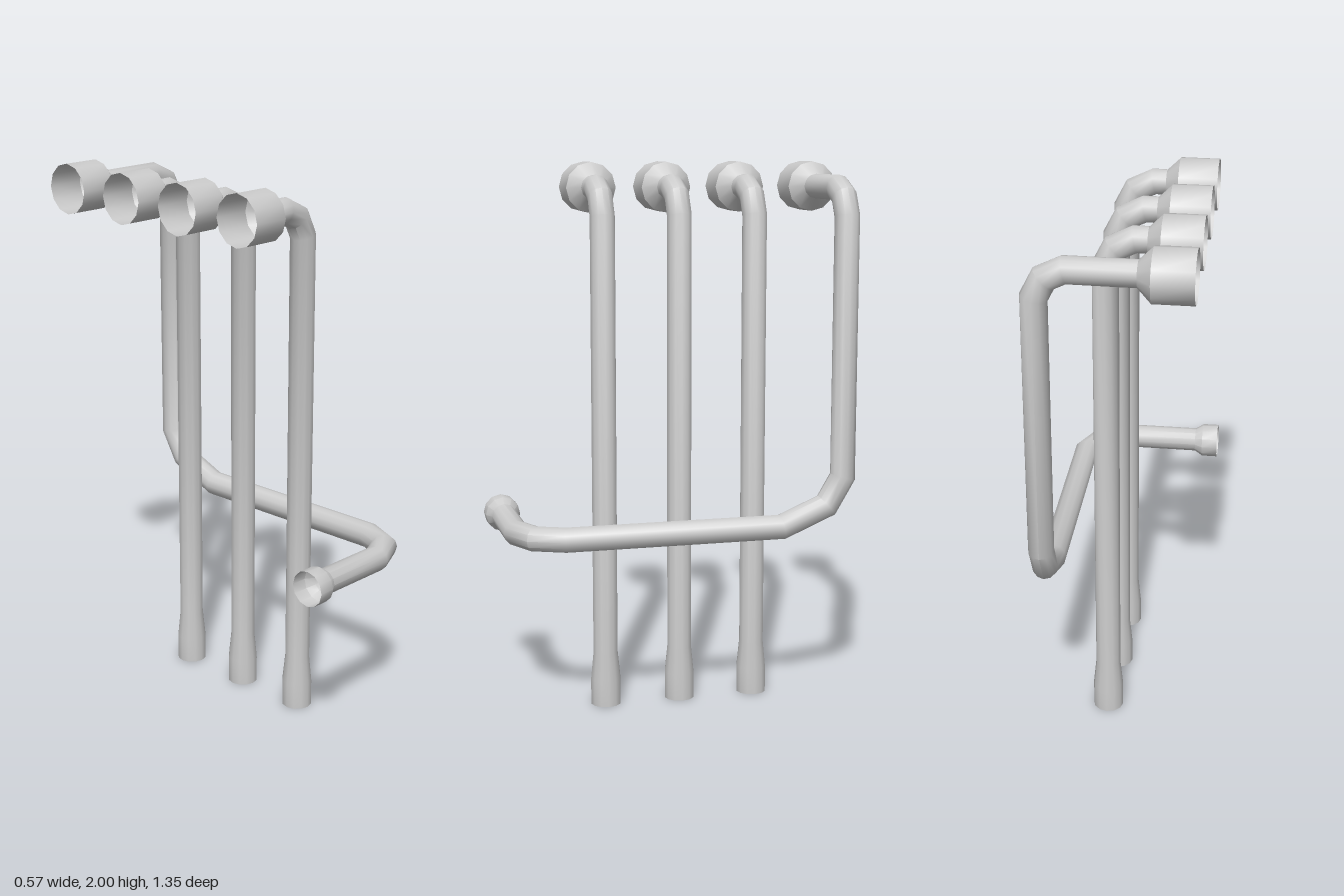
import * as THREE from 'three';
import { toCreasedNormals } from 'three/addons/utils/BufferGeometryUtils.js';

const SIDES = 12;
const PIPE = 0.046;

// Sweeps a round section along [x, y, z, radius] stations with mitred corners.
function sweep(stations, capEnd) {
  const pts = stations.map(([x, y, z]) => new THREE.Vector3(x, y, z));
  const last = pts.length - 1;
  const dir = i => pts[i + 1].clone().sub(pts[i]).normalize();
  const positions = [];
  const index = [];
  let tIn = dir(0);
  const n = new THREE.Vector3(0, 1, 0);

  pts.forEach((p, i) => {
    const tOut = i < last ? dir(i) : tIn.clone();
    const mitre = tIn.clone().add(tOut).normalize();
    const b = tIn.clone().cross(n);
    for (let j = 0; j < SIDES; j++) {
      const a = (j / SIDES) * Math.PI * 2;
      const o = n.clone().multiplyScalar(Math.cos(a)).addScaledVector(b, Math.sin(a));
      o.multiplyScalar(stations[i][3]);
      o.addScaledVector(tIn, -o.dot(mitre) / tIn.dot(mitre));
      positions.push(...o.add(p).toArray());
    }
    n.applyQuaternion(new THREE.Quaternion().setFromUnitVectors(tIn, tOut));
    tIn = tOut;
  });

  for (let i = 0; i < last; i++) {
    for (let j = 0; j < SIDES; j++) {
      const a = i * SIDES + j;
      const b = i * SIDES + (j + 1) % SIDES;
      index.push(a, b, a + SIDES, b, b + SIDES, a + SIDES);
    }
  }
  if (capEnd) {
    const first = last * SIDES;
    for (let j = 1; j < SIDES - 1; j++) index.push(first, first + j, first + j + 1);
  }
  const geometry = new THREE.BufferGeometry();
  geometry.setAttribute('position', new THREE.Float32BufferAttribute(positions, 3));
  geometry.setIndex(index);
  return toCreasedNormals(geometry, 0.7);
}

// Wide open socket at the top, then the bend down into a vertical run at x.
function socketAndBend(x, z) {
  return [
    [-0.285, 1.907, z, 0.093],
    [-0.145, 1.907, z, 0.093],
    [-0.098, 1.908, z, PIPE],
    [x - 0.1, 1.909, z, PIPE],
    [x - 0.034, 1.877, z, PIPE],
    [x, 1.81, z, PIPE],
  ];
}

export function createModel() {
  const group = new THREE.Group();
  const material = new THREE.MeshStandardMaterial({ color: 0xcccccc, side: THREE.DoubleSide });
  const add = (name, geometry) => {
    const mesh = new THREE.Mesh(geometry, material);
    mesh.name = name;
    group.add(mesh);
  };

  // Three straight drop pipes with slightly flared feet
  [0.275, -0.009, -0.293].forEach((z, i) => {
    const x = 0.047;
    add(`dropPipe${i + 1}`, sweep([
      ...socketAndBend(x, z),
      [x, 0.2, z, PIPE],
      [x, 0.1, z, 0.056],
      [x, 0, z, 0.056],
    ], true));
  });

  // Long pipe that drops, crosses to the front and turns back to a small socket
  const x = 0.238;
  const y = 0.683;
  const z = 0.609;
  add('crossoverPipe', sweep([
    ...socketAndBend(x, -0.58),
    [x, 0.86, -0.58, PIPE],
    [x, 0.755, -0.518, PIPE],
    [x, y, -0.347, PIPE],
    [x, y, 0.455, PIPE],
    [0.19, y, 0.56, PIPE],
    [0.085, y, z, PIPE],
    [-0.195, y, z, PIPE],
    [-0.225, y, z, 0.065],
    [-0.285, y, z, 0.065],
  ], false));

  return group;
}
